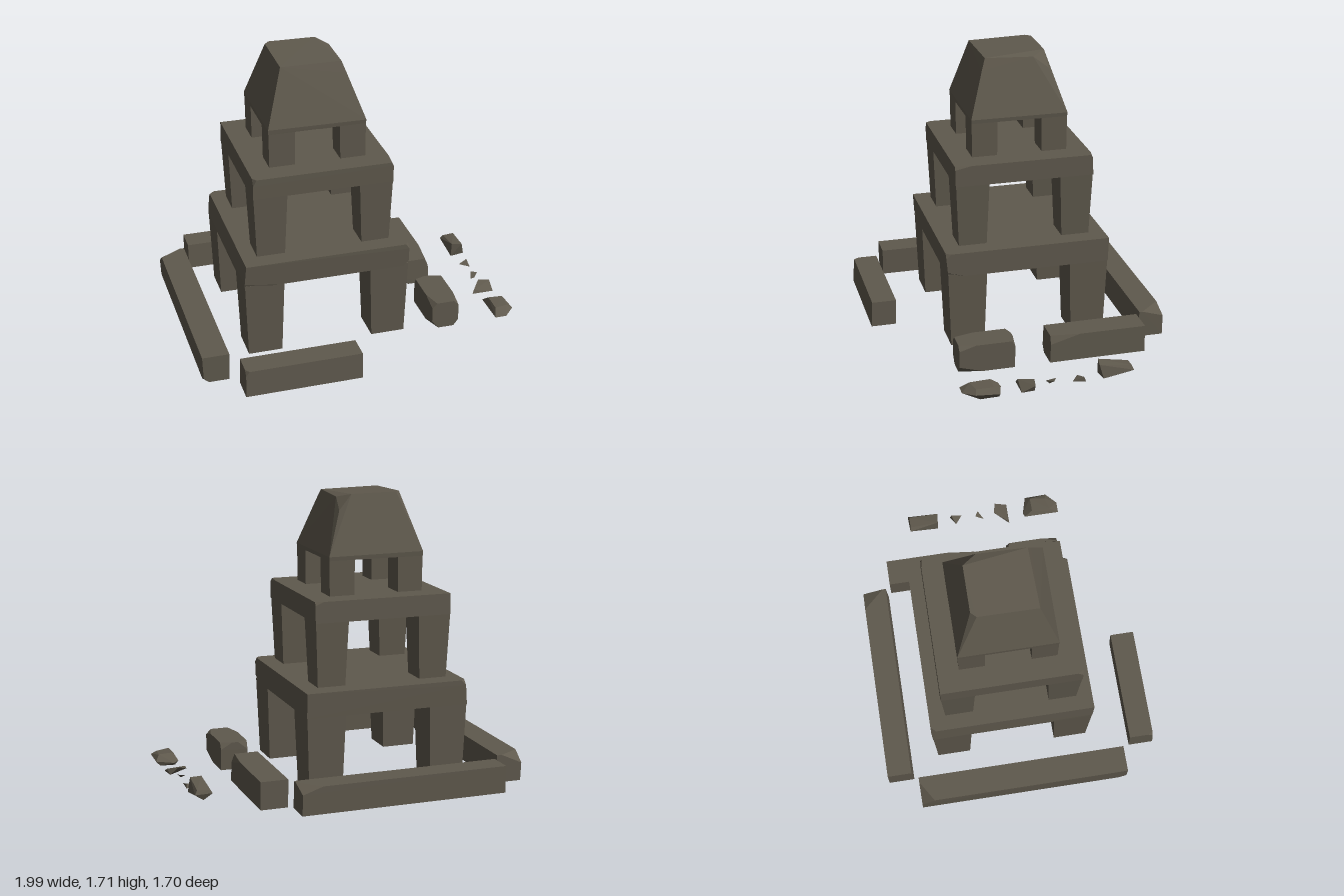
import * as THREE from 'three';
import { ConvexGeometry } from 'three/addons/geometries/ConvexGeometry.js';

const stone = new THREE.MeshStandardMaterial({ color: 0x5f594d });
stone.name = 'weathered stone';

// Faceted stone: the hull of a handful of points
function hull(name, points) {
  const mesh = new THREE.Mesh(new ConvexGeometry(points.map(p => new THREE.Vector3(...p))), stone);
  mesh.name = name;
  return mesh;
}

// Tapered block between two rectangles [x0, x1, z0, z1].
// chips: 'x z y' signs such as '+-+' -> lengths cut along x, y and z at that corner
function block(name, y0, y1, bottom, top, chips = {}) {
  const points = [];
  for (const sx of [-1, 1]) for (const sz of [-1, 1]) for (const sy of [-1, 1]) {
    const r = sy < 0 ? bottom : top;
    const x = sx < 0 ? r[0] : r[1], z = sz < 0 ? r[2] : r[3], y = sy < 0 ? y0 : y1;
    const chip = chips[[sx, sz, sy].map(s => (s < 0 ? '-' : '+')).join('')];
    if (chip) {
      points.push([x - sx * chip[0], y, z], [x, y - sy * chip[1], z], [x, y, z - sz * chip[2]]);
    } else points.push([x, y, z]);
  }
  return hull(name, points);
}

// Four tapering legs under the corners of rectangle r
function legs(name, y0, y1, r, width, taper) {
  const group = new THREE.Group();
  group.name = name;
  for (const sx of [-1, 1]) for (const sz of [-1, 1]) {
    const span = (s, a, b, inset) => (s < 0 ? [a + inset, a + width - inset] : [b - width + inset, b - inset]);
    const rect = inset => [...span(sx, r[0], r[1], inset), ...span(sz, r[2], r[3], inset)];
    group.add(block('leg', y0, y1, rect(taper), rect(0.002)));
  }
  return group;
}

export function createModel() {
  const model = new THREE.Group();
  model.name = 'ruinedStoneTower';

  // Lower tier
  const low = [-0.69, 0.31, -0.535, 0.45];
  model.add(legs('lowerLegs', 0.02, 0.49, low, 0.24, 0.018));
  model.add(block('lowerSlab', 0.475, 0.622, low, [-0.68, 0.31, -0.54, 0.458], {
    '--+': [0.03, 0.03, 0.03], '+++': [0.02, 0.03, 0.03], '++-': [0.03, 0.03, 0.1], '-+-': [0.2, 0.03, 0.01],
  }));

  // Middle tier
  const mid = [-0.61, 0.23, -0.458, 0.378];
  model.add(legs('middleLegs', 0.628, 1.02, mid, 0.205, 0.018));
  model.add(block('middleSlab', 1.008, 1.132, mid, [-0.608, 0.23, -0.455, 0.38], {
    '-++': [0.02, 0.04, 0.03], '+-+': [0.05, 0.02, 0.01], '+++': [0.01, 0.02, 0.1],
  }));

  // Upper tier with tapered roof, broken at the rear corner
  const high = [-0.483, 0.102, -0.332, 0.252];
  model.add(legs('upperLegs', 1.135, 1.36, high, 0.16, 0.004));
  model.add(hull('roof', [
    [-0.482, 1.342, -0.33], [0.1, 1.342, -0.33], [0.1, 1.342, 0.25], [-0.482, 1.342, 0.25],
    [-0.483, 1.37, -0.332], [0.102, 1.365, -0.332], [0.102, 1.365, 0.252], [-0.483, 1.37, 0.252],
    [-0.39, 1.62, -0.24], [0.008, 1.62, -0.24], [0.01, 1.63, 0.165], [-0.39, 1.62, 0.17],
    [-0.38, 1.715, -0.2], [-0.35, 1.715, -0.232], [-0.07, 1.712, -0.232], [-0.005, 1.69, -0.15],
    [-0.015, 1.7, 0.14], [-0.38, 1.706, 0.15],
  ]));

  // Curb stones around the tower
  const curbs = new THREE.Group();
  curbs.name = 'curb';
  curbs.add(
    block('backCurb', 0.01, 0.172, [-0.8, 0.447, -0.848, -0.69], [-0.8, 0.445, -0.85, -0.7],
      { '+-+': [0.12, 0.04, 0.13] }),
    block('rightCurb', 0.01, 0.178, [-0.99, -0.84, -0.66, 0.64], [-0.995, -0.835, -0.66, 0.64],
      { '--+': [0.13, 0.06, 0.08], '-+-': [0.03, 0.03, 0.05] }),
    block('frontCurb', 0.01, 0.17, [-0.79, -0.095, 0.695, 0.848], [-0.785, -0.095, 0.692, 0.84],
      { '-++': [0.02, 0.03, 0.03] }),
    block('leftRearCurb', 0.01, 0.175, [0.472, 0.635, -0.67, -0.085], [0.47, 0.633, -0.67, -0.09],
      { '+++': [0.02, 0.05, 0.18], '-+-': [0.03, 0.04, 0.05] }),
    block('leftFrontCurb', 0.01, 0.18, [0.467, 0.635, 0.13, 0.462], [0.467, 0.635, 0.125, 0.46], {
      '-++': [0.03, 0.03, 0.12], '+++': [0.03, 0.03, 0.1], '-+-': [0.04, 0.05, 0.12], '++-': [0.03, 0.04, 0.14],
      '--+': [0.06, 0.05, 0.02], '+-+': [0.07, 0.04, 0.02],
    }),
  );
  model.add(curbs);

  // Broken fragments strewn along the left side
  const rubble = new THREE.Group();
  rubble.name = 'rubble';
  rubble.add(
    hull('fragment', [
      [0.86, 0.08, -0.485], [0.965, 0.08, -0.49], [0.96, 0.045, -0.31], [0.87, 0.04, -0.3],
      [0.94, 0.125, -0.29], [0.875, 0.13, -0.3], [0.88, 0.1, -0.48], [0.95, 0.105, -0.48], [0.91, 0.04, -0.47],
    ]),
    hull('smallFragment', [[0.88, 0.045, -0.175], [0.94, 0.03, -0.21], [0.94, 0.06, -0.2], [0.94, 0.04, -0.13]]),
    hull('smallFragment', [[0.89, 0.04, 0.015], [0.91, 0.06, -0.04], [0.945, 0.06, -0.02], [0.92, 0.035, 0]]),
    hull('fragment', [
      [0.84, 0.03, 0.18], [0.975, 0.03, 0.18], [0.98, 0.065, 0.1], [0.91, 0.07, 0.088],
      [0.85, 0.05, 0.17], [0.96, 0.025, 0.1],
    ]),
    hull('fragment', [
      [0.86, 0.05, 0.29], [0.89, 0.04, 0.28], [0.995, 0.05, 0.31], [0.995, 0.06, 0.45], [0.93, 0.05, 0.515],
      [0.86, 0.05, 0.515], [0.88, 0.09, 0.34], [0.97, 0.085, 0.34], [0.88, 0.085, 0.46], [0.96, 0.08, 0.44],
      [0.88, 0.02, 0.42], [0.97, 0.02, 0.42], [0.88, 0.022, 0.3], [0.97, 0.022, 0.31],
    ]),
  );
  model.add(rubble);
  return model;
}
